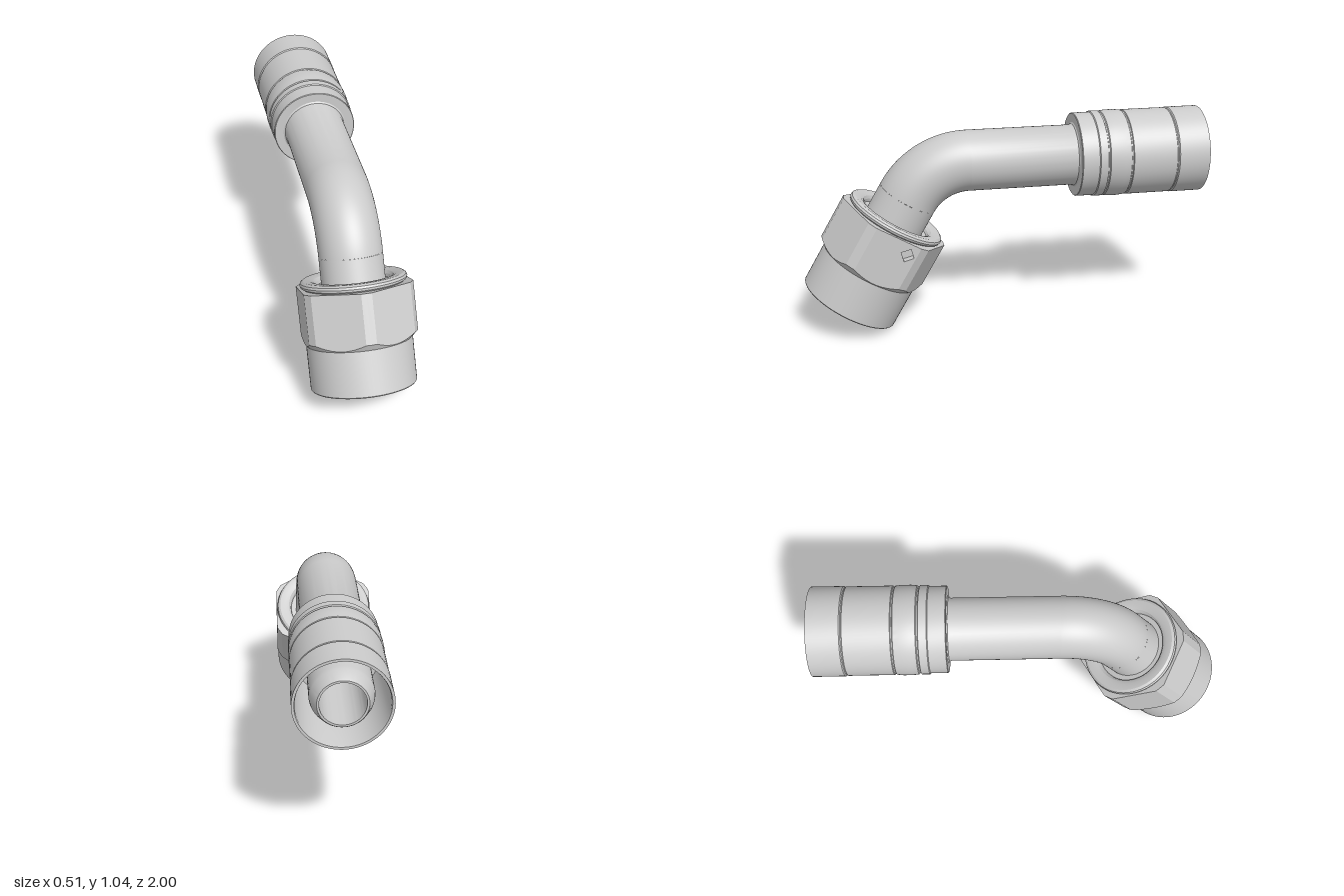
import * as THREE from 'three';
import { toCreasedNormals } from 'three/addons/utils/BufferGeometryUtils.js';

const grey = new THREE.MeshStandardMaterial({ color: 0xcccccc });
const greyInside = new THREE.MeshStandardMaterial({ color: 0xcccccc, side: THREE.BackSide });

const AXIS_Y = 0.835;            // height of the straight pipe
const PIPE_R = 0.15, BORE_R = 0.1;
const BEND_R = 0.346, BEND_Z = 0.178;
const NUT_BEND = 0.614;          // where the bend starts, measured along the nut axis
const APOTHEM = 0.255, HEX_TOP = 0.478, STEP = Math.PI / 36;

function addMesh(parent, name, geometry, material = grey) {
  const mesh = new THREE.Mesh(geometry, material);
  mesh.name = name;
  parent.add(mesh);
  return mesh;
}

// Revolved part from [radius, height] pairs
function lathe(points, segments = 72) {
  return new THREE.LatheGeometry(points.map(([r, y]) => new THREE.Vector2(r, y)), segments);
}

function addLathe(parent, name, points, segments) {
  return addMesh(parent, name, toCreasedNormals(lathe(points, segments), 0.4));
}

// Radius of a hexagon with truncated corners; a flat faces angle 0
function hexRadius(angle) {
  const sector = Math.PI / 3;
  const a = Math.abs(angle - Math.round(angle / sector) * sector);
  const edge = 5 * STEP;
  if (a <= edge + 1e-6) return APOTHEM / Math.cos(a);
  return APOTHEM / Math.cos(edge) * Math.cos(STEP) / Math.cos(sector / 2 - a);
}

// Height of the conical chamfer under the hexagon
const chamferY = (r) => 0.215 + (r - 0.25);

function hexGeometry() {
  const geometry = lathe([[0.249, 0.214], [0.28, 0.24], [0.28, HEX_TOP], [0.2, HEX_TOP]]);
  const p = geometry.attributes.position;
  for (let i = 0; i < p.count; i++) {
    if (i % 4 === 0 || i % 4 === 3) continue;
    const angle = Math.atan2(p.getZ(i), p.getX(i));
    const r = hexRadius(angle);
    const y = i % 4 === 1 ? chamferY(r) : HEX_TOP;
    p.setXYZ(i, r * Math.cos(angle), y, r * Math.sin(angle));
  }
  // Leave out the flat that carries the pocket
  const source = geometry.index.array, kept = [];
  for (let i = 0; i < source.length; i += 3) {
    const tri = [source[i], source[i + 1], source[i + 2]];
    if (!tri.every((v) => p.getX(v) > APOTHEM - 1e-4)) kept.push(...tri);
  }
  geometry.setIndex(kept);
  return toCreasedNormals(geometry, 0.3);
}

// The flat on the left side, with a diamond hole
function pocketFlatGeometry(u, v, size) {
  const shape = new THREE.Shape();
  const half = APOTHEM * Math.tan(5 * STEP);
  shape.moveTo(half, HEX_TOP);
  shape.lineTo(-half, HEX_TOP);
  for (let i = -5; i <= 5; i++) {
    shape.lineTo(APOTHEM * Math.tan(i * STEP), chamferY(hexRadius(i * STEP)));
  }
  shape.closePath();
  const hole = new THREE.Path();
  hole.moveTo(u + size, v);
  hole.lineTo(u, v - size);
  hole.lineTo(u - size, v);
  hole.lineTo(u, v + size);
  hole.closePath();
  shape.holes.push(hole);
  return new THREE.ShapeGeometry(shape).rotateY(Math.PI / 2).translate(APOTHEM, 0, 0);
}

function createNut() {
  const nut = new THREE.Group();
  nut.name = 'swivelNut';
  addLathe(nut, 'nutSkirt', [
    [0.155, 0.45], [0.19, 0.4], [0.19, 0.02], [0.22, 0], [0.246, 0], [0.25, 0.005], [0.25, 0.22],
  ]);
  addMesh(nut, 'nutHexagon', hexGeometry());
  addMesh(nut, 'nutPocketFlat', pocketFlatGeometry(0.075, 0.42, 0.035));
  const pocket = addLathe(nut, 'nutPocket', [[0.035, 0], [0.035, -0.04], [0, -0.04]], 4);
  pocket.rotation.z = -Math.PI / 2;
  pocket.position.set(APOTHEM, 0.42, -0.075);
  addLathe(nut, 'nutCollar', [
    [0.237, HEX_TOP], [0.247, 0.485], [0.251, 0.496], [0.247, 0.507], [0.235, 0.515],
    [0.205, 0.515], [0.188, 0.508], [0.178, 0.495], [0.175, 0.48], [0.15, 0.48],
  ]);
  // Pipe end with its sealing cone, hidden in the nut
  addLathe(nut, 'pipeNose', [
    [BORE_R, NUT_BEND], [BORE_R, 0.25], [0.12, 0.25], [0.18, 0.32], [0.18, 0.39],
    [PIPE_R, 0.42], [PIPE_R, NUT_BEND],
  ]);
  nut.position.set(0, 0.13, 0.785);
  nut.rotation.x = -Math.PI / 6;
  return nut;
}

function createHoseEnd() {
  const end = new THREE.Group();
  end.name = 'hoseEnd';
  addLathe(end, 'straightPipe', [
    [PIPE_R, -BEND_Z], [PIPE_R, 0.34], [0.154, 0.35], [0.163, 0.356],
  ]);
  addLathe(end, 'crimpSleeve', [
    [PIPE_R, 0.355], [0.205, 0.355], [0.208, 0.358], [0.208, 0.44], [0.213, 0.444],
    [0.213, 0.483], [0.207, 0.486], [0.207, 0.492], [0.212, 0.496], [0.2155, 0.525],
    [0.2155, 0.57], [0.212, 0.6], [0.208, 0.603], [0.208, 0.609], [0.213, 0.612],
    [0.213, 0.832], [0.21, 0.835], [0.21, 0.84], [0.215, 0.845], [0.215, 1],
    [0.203, 1], [0.2, 0.99], [0.2, 0.55], [0.13, 0.55],
  ]);
  addLathe(end, 'hoseNipple', [
    [0.14, 0.55], [0.14, 0.915], [0.136, 0.935], [0.117, 0.98], [0.11, 0.99],
    [BORE_R, 0.99], [BORE_R, -BEND_Z],
  ]);
  end.position.y = AXIS_Y;
  end.rotation.x = -Math.PI / 2;
  return end;
}

export function createModel() {
  const model = new THREE.Group();
  model.name = 'angledHoseFitting';
  model.add(createNut(), createHoseEnd());

  // Sixty degree bend, outside and bore
  for (const [name, radius, material] of [
    ['pipeBend', PIPE_R, grey],
    ['pipeBendBore', BORE_R, greyInside],
  ]) {
    const geometry = new THREE.TorusGeometry(BEND_R, radius, 72, 32, Math.PI / 3);
    const bend = addMesh(model, name, geometry, material);
    bend.position.set(0, AXIS_Y - BEND_R, BEND_Z);
    bend.rotation.set(0, -Math.PI / 2, Math.PI / 6);
  }
  return model;
}
